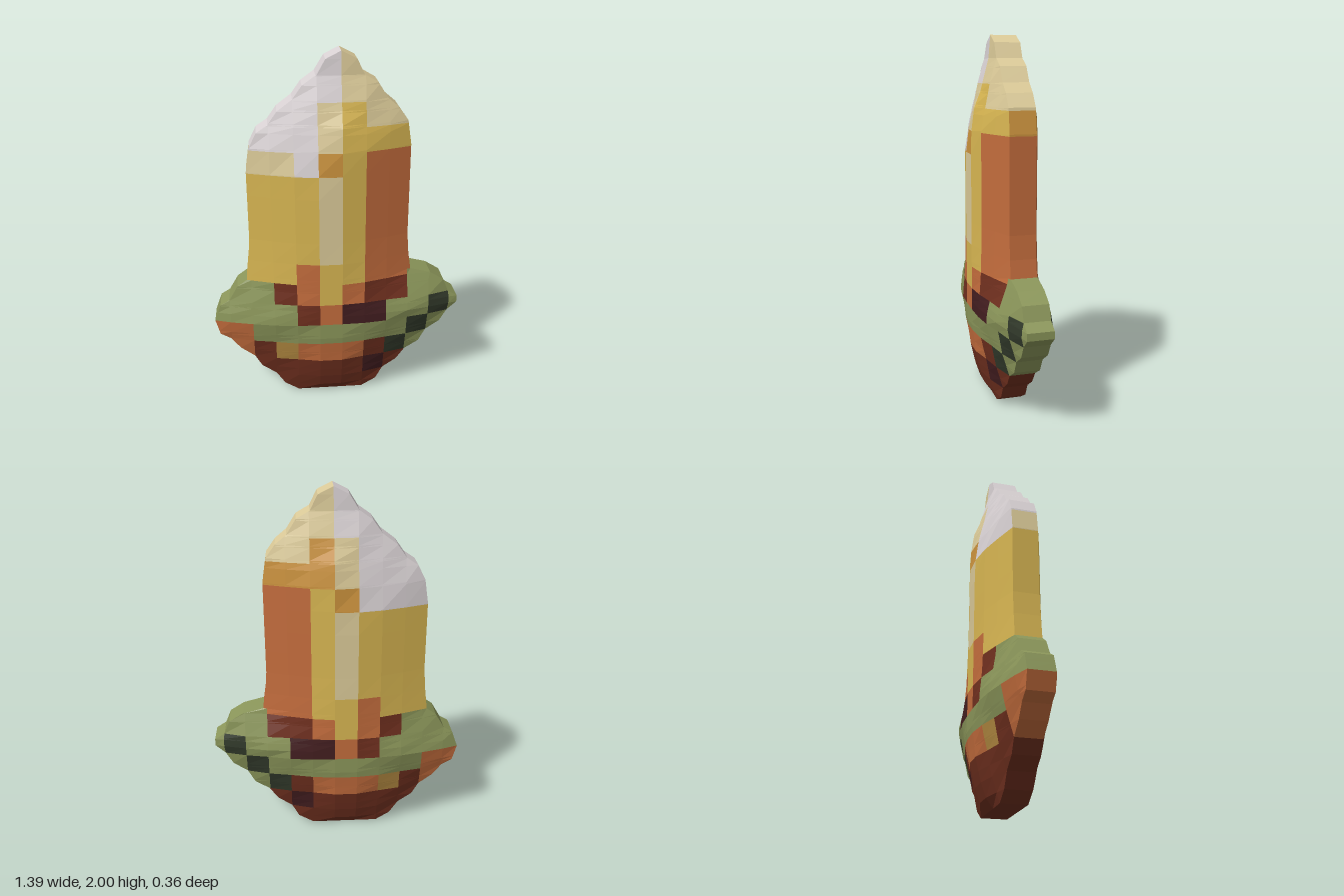
import * as THREE from 'three';

const CELL = 0.125, X0 = -0.73, RIM = 0.07;

// outline edges as [y, x], from the base up
const LEFT = [[0, -0.23], [0.05, -0.31], [0.125, -0.36], [0.18, -0.44], [0.25, -0.48], [0.31, -0.56],
  [0.375, -0.61], [0.41, -0.67], [0.5, -0.695], [0.595, -0.66], [0.625, -0.61], [0.71, -0.56], [0.75, -0.505],
  [0.875, -0.49], [1, -0.48], [1.38, -0.48], [1.51, -0.46], [1.59, -0.42], [1.63, -0.36], [1.7, -0.31],
  [1.76, -0.23], [1.83, -0.18], [1.88, -0.11], [1.96, -0.06], [2, 0.02]];
const RIGHT = [[0, 0.145], [0.05, 0.23], [0.125, 0.27], [0.18, 0.35], [0.25, 0.4], [0.3, 0.48],
  [0.375, 0.52], [0.43, 0.6], [0.5, 0.64], [0.55, 0.695], [0.59, 0.695], [0.625, 0.64], [0.7, 0.61],
  [0.75, 0.53], [0.78, 0.415], [0.875, 0.4], [1, 0.39], [1.51, 0.39], [1.64, 0.37], [1.71, 0.32],
  [1.76, 0.26], [1.84, 0.21], [1.88, 0.14], [1.96, 0.1], [2, 0.02]];
// greatest half depth at each height, and half depth by distance from the outline
const DEPTH = [[0, 0.07], [0.125, 0.16], [0.27, 0.18], [1.5, 0.18], [1.62, 0.16], [1.71, 0.125],
  [1.88, 0.08], [2, 0.07]];
const SWELL = [[0, RIM], [0.125, 0.115], [0.25, 0.155], [0.375, 0.18]];

// patch colours, one string per row from the base up
const SHAFT = 'YYYYYTYOOOOO';
const FRONT = ['RRRRRRRRRRRR', 'RRRRRRRMRRRR', 'OORAOOORDeee', 'OOeeeeeeeDee', 'eeeeROMMeeDe', 'eeeROYORReee',
  'YYYYOYYOOOOO', SHAFT, SHAFT, SHAFT, SHAFT, 'TTTTWGYOOOOO', 'WWWWWTYYYYYY', 'WWWWWTYTTTTT',
  'WWWWWWTTTTTT', 'WWWWWWTTTTTT'];
const BACK = FRONT.slice();
BACK[11] = 'WWWWWGYOOOOO';
BACK[12] = 'WWWWWTGGGGGG';
BACK[13] = 'WWWWWTGTTTTT';
const RIM_ROWS = FRONT.slice();
RIM_ROWS[12] = BACK[12];

const COLORS = {
  W: ['paleGrey', 0xdad3d5], T: ['cream', 0xdccb99], Y: ['yellow', 0xd8b652], G: ['amber', 0xcd943e],
  O: ['orange', 0xc46d3d], R: ['brown', 0x70301f], M: ['maroon', 0x431e20], e: ['green', 0x8b965a],
  D: ['darkGreen', 0x323a2b], A: ['ochre', 0xb68c42],
};

function lerpTable(table, v) {
  for (let i = 1; i < table.length; i++) {
    const [a, b] = [table[i - 1], table[i]];
    if (v <= b[0]) return a[1] + (b[1] - a[1]) * (v - a[0]) / (b[0] - a[0]);
  }
  return table[table.length - 1][1];
}

const OUTLINE = [LEFT, RIGHT].flatMap((edge) => edge.slice(1).map(([y, x], i) =>
  new THREE.Line3(new THREE.Vector3(edge[i][1], edge[i][0], 0), new THREE.Vector3(x, y, 0))));

// half depth: thin at the outline, swelling with the distance from it
function halfDepth(x, y) {
  const p = new THREE.Vector3(x, y, 0), q = new THREE.Vector3();
  const d = Math.min(...OUTLINE.map((line) => line.closestPointToPoint(p, true, q).distanceTo(p)));
  return Math.min(lerpTable(SWELL, d), lerpTable(DEPTH, y));
}

function colorAt(rows, x, y) {
  if (y > 0.75 && y < 0.78 && x > 0.415) return 'e';
  const col = Math.min(11, Math.max(0, Math.floor((x - X0) / CELL)));
  return rows[Math.min(15, Math.floor(y / CELL))][col];
}

const partAt = (y) => (y < 0.375 ? 'bowl' : y < 0.78 ? 'collar' : y < 1.5 ? 'shaft' : 'tip');

export function createModel() {
  const model = new THREE.Group();
  model.name = 'carvedPiece';
  const buckets = {};

  const addQuad = (part, key, a, b, c, d) => {
    const list = ((buckets[part] ??= {})[key] ??= []);
    for (const tri of [[a, b, c], [a, c, d]]) {
      const [p, q, r] = tri.map((v) => new THREE.Vector3(...v));
      if (q.sub(p).cross(r.sub(p)).length() > 1e-8) list.push(...tri.flat());
    }
  };

  // horizontal strips between every outline point and patch row
  const ys = [...LEFT, ...RIGHT].map((p) => p[0]);
  for (let i = 0; i <= 16; i++) ys.push(i * CELL);
  const levels = [...new Set(ys)].sort((a, b) => a - b);

  for (let i = 1; i < levels.length; i++) {
    const y0 = levels[i - 1], y1 = levels[i], ym = (y0 + y1) / 2, part = partAt(ym);
    const [l0, l1, r0, r1] = [lerpTable(LEFT, y0), lerpTable(LEFT, y1), lerpTable(RIGHT, y0), lerpTable(RIGHT, y1)];

    // front and back patches, clipped to the outline
    for (let c = 0; c < 12; c++) {
      const xa = X0 + c * CELL, xb = xa + CELL, clamp = THREE.MathUtils.clamp;
      const corners = [[clamp(xa, l0, r0), y0], [clamp(xb, l0, r0), y0], [clamp(xb, l1, r1), y1], [clamp(xa, l1, r1), y1]];
      const front = corners.map(([x, y]) => [x, y, halfDepth(x, y)]);
      const back = front.map(([x, y, z]) => [x, y, -z]).reverse();
      addQuad(part, colorAt(FRONT, xa + CELL / 2, ym), ...front);
      addQuad(part, colorAt(BACK, xa + CELL / 2, ym), ...back);
    }

    // rim on both sides
    addQuad(part, colorAt(RIM_ROWS, (r0 + r1) / 2, ym), [r0, y0, RIM], [r0, y0, -RIM], [r1, y1, -RIM], [r1, y1, RIM]);
    addQuad(part, colorAt(RIM_ROWS, (l0 + l1) / 2, ym), [l0, y0, -RIM], [l0, y0, RIM], [l1, y1, RIM], [l1, y1, -RIM]);
  }

  // flat underside
  addQuad('bowl', 'R', [-0.23, 0, -RIM], [0.145, 0, -RIM], [0.145, 0, RIM], [-0.23, 0, RIM]);

  const materials = {};
  for (const [key, [name, color]] of Object.entries(COLORS)) {
    materials[key] = new THREE.MeshStandardMaterial({ color });
    materials[key].name = name;
  }

  // one mesh per colour within each part; unshared corners keep the facets flat
  for (const [part, byColor] of Object.entries(buckets)) {
    const group = new THREE.Group();
    group.name = part;
    for (const [key, positions] of Object.entries(byColor)) {
      if (!positions.length) continue;
      const geometry = new THREE.BufferGeometry();
      geometry.setAttribute('position', new THREE.Float32BufferAttribute(positions, 3));
      geometry.computeVertexNormals();
      const mesh = new THREE.Mesh(geometry, materials[key]);
      mesh.name = `${part} ${COLORS[key][0]}`;
      group.add(mesh);
    }
    model.add(group);
  }
  return model;
}
